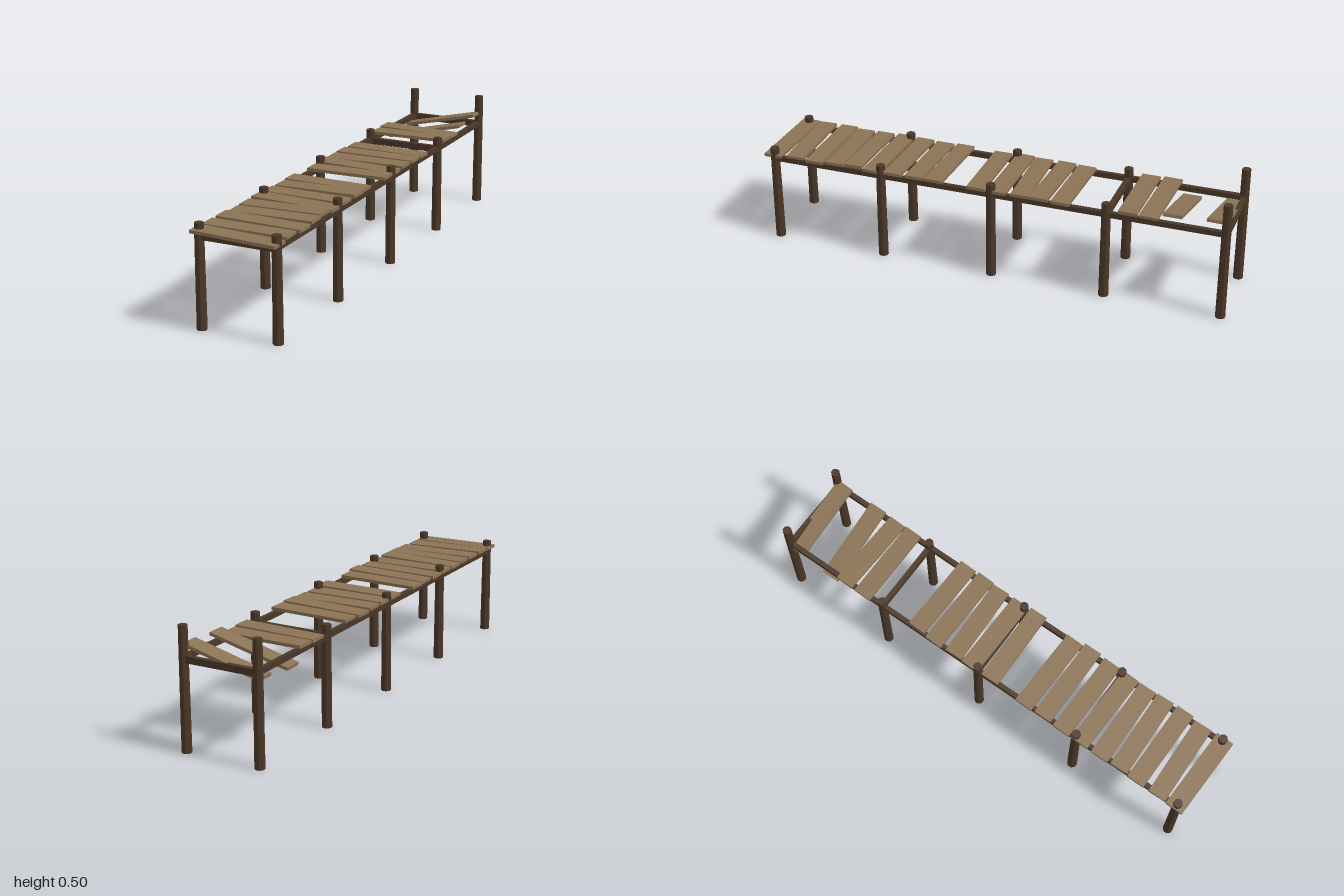
import * as THREE from 'three';

const darkWood = new THREE.MeshStandardMaterial({ color: 0x4a3728 });
darkWood.name = 'darkWood';
const plankWood = new THREE.MeshStandardMaterial({ color: 0x8b7355 });
plankWood.name = 'plankWood';

function box(name, material, size, position) {
  const mesh = new THREE.Mesh(new THREE.BoxGeometry(...size), material);
  mesh.name = name;
  mesh.position.set(...position);
  return mesh;
}

// Octagonal pile with a slight taper and a flat side to the front
function post(x, z, height) {
  const geometry = new THREE.CylinderGeometry(0.0185, 0.0207, height, 8).toNonIndexed();
  geometry.rotateY(Math.PI / 8);
  geometry.computeVertexNormals();
  const mesh = new THREE.Mesh(geometry, darkWood);
  mesh.name = 'post';
  mesh.position.set(x, height / 2, z);
  return mesh;
}

// Deck boards: [x centre, z centre, yaw, roll, y centre, length]
const D = 0.39;
const planks = [
  [-0.003, 0.955, -0.022, -0.018, 0.388, 0.36],
  [-0.005, 0.864, 0.03, -0.01, D, 0.35],
  [-0.001, 0.768, 0, -0.012, D, 0.36],
  [0, 0.68, 0.03, 0.012, 0.391, 0.35],
  [-0.005, 0.593, 0.008, 0.02, 0.392, 0.35],
  [-0.003, 0.503, -0.03, -0.012, D, 0.355],
  [-0.003, 0.413, -0.022, 0.004, D, 0.355],
  [0.002, 0.317, -0.005, 0.018, 0.392, 0.355],
  [-0.005, 0.23, -0.03, 0, D, 0.35],
  [0.004, 0.05, 0.012, 0.01, 0.391, 0.35],
  [0, -0.043, -0.022, -0.015, D, 0.35],
  [0.002, -0.134, 0.03, 0, D, 0.345],
  [0.002, -0.224, -0.03, 0.012, 0.391, 0.355],
  [0.007, -0.314, -0.03, 0, D, 0.345],
  [-0.005, -0.587, -0.01, 0.012, 0.391, 0.35],
  [-0.005, -0.675, -0.035, -0.012, D, 0.35],
  // Two loose boards that have tipped over
  [-0.004, -0.765, 0, 0.24, 0.373, 0.352],
  [-0.002, -0.942, -0.025, 0.23, 0.383, 0.345],
];

export function createModel() {
  const pier = new THREE.Group();
  pier.name = 'pier';

  // Post pairs, each joined by a cross beam; the rear pair is taller
  const postX = 0.1615;
  for (const z of [0.955, 0.471, -0.013, -0.497, -0.979]) {
    const height = z < -0.9 ? 0.5 : 0.42;
    for (const side of [-1, 1]) pier.add(post(side * postX, z, height));
    pier.add(box('crossBeam', darkWood, [postX * 2, 0.027, 0.02], [0, 0.3695, z]));
  }

  // Long side beams under the deck
  for (const side of [-1, 1]) {
    pier.add(box('sideBeam', darkWood, [0.02, 0.022, 1.934], [side * postX, 0.3725, -0.012]));
  }

  // Worn deck with missing boards
  const deck = new THREE.Group();
  deck.name = 'deck';
  for (const [x, z, yaw, roll, y, length] of planks) {
    const plank = box('plank', plankWood, [length, 0.013, 0.077], [x, y, z]);
    plank.rotation.set(0, yaw, roll);
    deck.add(plank);
  }
  pier.add(deck);
  return pier;
}
